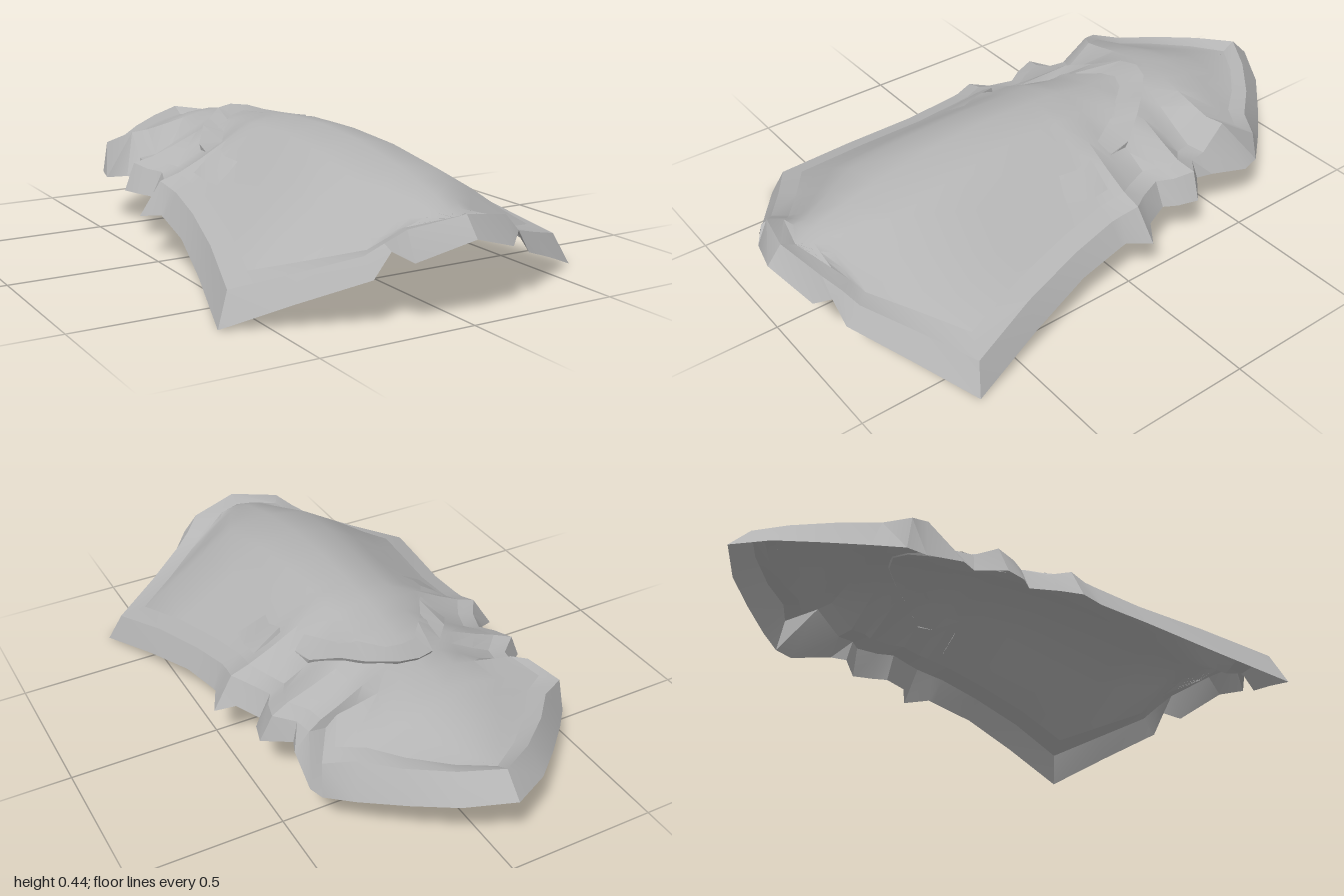
import * as THREE from 'three';
import { toCreasedNormals } from 'three/addons/utils/BufferGeometryUtils.js';

// Rim stations of one half, rear tip to front tip: lower edge xyz, upper edge xyz
const RIM = [
  [0, .26, -1, 0, .33, -.93],
  [.14, .235, -.92, .12, .315, -.86],
  [.25, .21, -.82, .24, .3, -.76],
  [.36, .185, -.71, .33, .29, -.66],
  [.43, .17, -.63, .42, .28, -.61],      // large rear spike
  [.44, .16, -.57, .36, .325, -.52],
  [.42, .19, -.43, .37, .25, -.43],
  [.40, .185, -.38, .38, .25, -.37],
  [.48, .17, -.31, .44, .26, -.32],      // middle spike
  [.46, .17, -.24, .42, .25, -.25],
  [.43, .165, -.2, .39, .245, -.2],
  [.47, .165, -.11, .42, .24, -.12],
  [.53, .14, -.07, .46, .25, -.06],      // front spike
  [.49, .155, .01, .45, .235, 0],
  [.49, .15, .03, .45, .23, .04],
  [.51, .125, .2, .47, .2, .2],
  [.56, .07, .42, .52, .16, .42],
  [.63, 0, .68, .585, .1, .65],          // flared front corner
  [.45, .075, .79, .42, .15, .75],
  [.27, .145, .9, .27, .2, .85],
  [.22, .22, .91, .22, .235, .875],      // notch
  [.17, .19, .95, .17, .275, .91],
  [0, .245, 1, 0, .305, .95],
];

// Height of the spine along z
const SPINE = [[-.885, .305], [-.82, .31], [-.62, .37], [-.45, .395], [-.3, .4], [-.1, .428],
  [.15, .44], [.4, .42], [.6, .385], [.8, .33], [.91, .28]];
function spineY(z) {
  for (let i = 1; i < SPINE.length; i++) {
    const [z0, y0] = SPINE[i - 1], [z1, y1] = SPINE[i];
    if (z <= z1) return THREE.MathUtils.lerp(y0, y1, Math.max(0, (z - z0) / (z1 - z0)));
  }
  return SPINE[SPINE.length - 1][1];
}

// Surface through rows of points (rows run to +z, points run to +x)
function sheet(rows, crease) {
  const n = rows[0].length, index = [];
  for (let i = 0; i < rows.length - 1; i++) {
    for (let j = 0; j < n - 1; j++) {
      const a = i * n + j, b = a + n;
      index.push(a, b, a + 1, b, b + 1, a + 1);
    }
  }
  const geo = new THREE.BufferGeometry();
  geo.setAttribute('position', new THREE.Float32BufferAttribute(rows.flat(2), 3));
  geo.setIndex(index);
  return toCreasedNormals(geo, crease);
}

const flip = ([x, y, z]) => [-x, y, z];
const mirrorRow = (half) => [...half.slice(1).reverse().map(flip), ...half];

export function createModel() {
  const group = new THREE.Group();
  const grey = new THREE.MeshStandardMaterial({ color: 0xb4b4b4, side: THREE.DoubleSide });
  grey.name = 'plain grey';
  const add = (name, geo) => {
    const mesh = new THREE.Mesh(geo, grey);
    mesh.name = name;
    group.add(mesh);
    return mesh;
  };

  // Inner edge of the rim, where the dome begins
  const inner = ([, , , x, y, z]) => [x * .86, y - .025 + .1 * x, z * .95];

  // Domed shell: cross-sections blended from the spine down to the rim
  const across = [[0, 0], [.3, .12], [.55, .42], [.8, .76], [1, 1]];
  const domeRows = RIM.map((s) => {
    const [x, y, z] = inner(s);
    return mirrorRow(across.map(([u, g]) => [x * u, THREE.MathUtils.lerp(spineY(z), y, g), z]));
  });
  const dome = add('domedShell', sheet(domeRows, .5));

  // Spiked rim with a turned-down edge
  for (const side of [1, -1]) {
    const rows = RIM.map((s) => {
      const row = [inner(s), s.slice(3), s.slice(0, 3)];
      return side > 0 ? row : row.map(flip).reverse();
    });
    add(side > 0 ? 'leftRim' : 'rightRim', sheet(rows, .45));
  }

  // Height of the dome under a point
  dome.updateMatrixWorld();
  const ray = new THREE.Raycaster();
  const down = new THREE.Vector3(0, -1, 0);
  const onDome = (x, z, lift = 0) => {
    ray.set(new THREE.Vector3(x, 2, z), down);
    const hit = ray.intersectObject(dome)[0];
    return [x, (hit ? hit.point.y : spineY(z)) + lift, z];
  };

  // Overlapping lip arched across the back
  const lip = [[0, -.45], [.06, -.43], [.13, -.36], [.19, -.29], [.25, -.2], [.26, -.13]];
  const lipRow = (dz, shrink, lift) => mirrorRow(lip.map(([x, z], i) =>
    onDome(x * shrink, z + dz, i === lip.length - 1 ? 0 : lift)));
  add('archedLip', sheet([lipRow(.015, 1, -.005), lipRow(0, 1, .016), lipRow(.1, .85, .001)], .4));

  // Small raised flap on each flank
  for (const side of [1, -1]) {
    const at = (x, z, lift) => onDome(side * x, z, lift);
    const rows = [
      [at(.265, -.025, -.005), at(.31, -.025, -.005), at(.36, -.02, 0)],
      [at(.265, -.02, .018), at(.31, -.02, .014), at(.36, -.015, .002)],
      [at(.275, .04, .014), at(.32, .05, .01), at(.36, .06, .002)],
      [at(.26, .1, .001), at(.31, .12, .001), at(.35, .13, .001)],
    ];
    add(side > 0 ? 'leftFlap' : 'rightFlap',
      sheet(side > 0 ? rows : rows.map((r) => r.reverse()), .4));
  }
  return group;
}
